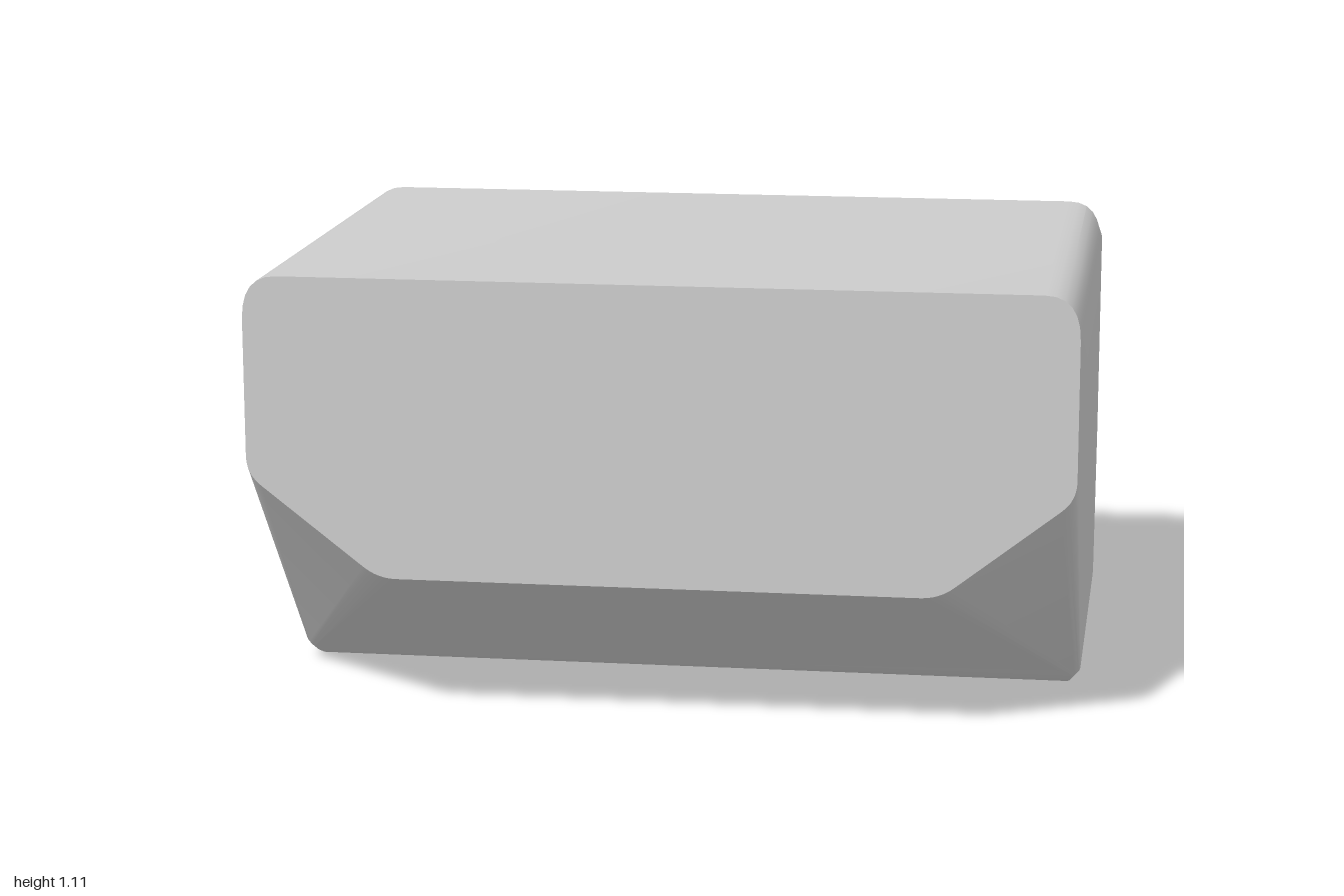
import * as THREE from 'three';
import { toCreasedNormals } from 'three/addons/utils/BufferGeometryUtils.js';

const ARC = 6;

// Rounded corner at c, cut on the lines towards a and b
function fillet(a, c, b, da, db) {
  const p = c.clone().add(a.clone().sub(c).setLength(da));
  const q = c.clone().add(b.clone().sub(c).setLength(db));
  return new THREE.QuadraticBezierCurve(p, c, q).getPoints(ARC);
}

// Cross-section, counter-clockwise from the front: bottom, chamfer, side, top
function section({ z, bottom, cutX, cutY, top, inset, drop, round }) {
  const v = (x, y) => new THREE.Vector2(x, y);
  const low = v(cutX, bottom), side = v(1, cutY), corner = v(1, top);
  const right = [
    ...fillet(v(0, bottom), low, side, round, round),
    ...fillet(low, side, corner, round, round),
    ...fillet(side, corner, v(0, top), drop, inset),
  ];
  const left = right.map((p) => v(-p.x, p.y)).reverse();
  return [...right, ...left].map((p) => new THREE.Vector3(p.x, p.y, z));
}

// Skin between consecutive sections with flat caps on both ends
function loft(loops) {
  const pos = [];
  const tri = (...pts) => pts.forEach((p) => pos.push(p.x, p.y, p.z));
  const n = loops[0].length;
  for (let k = 0; k < loops.length - 1; k++) {
    const a = loops[k], b = loops[k + 1];
    for (let i = 0; i < n; i++) {
      const j = (i + 1) % n;
      tri(a[i], b[i], a[j]);
      tri(a[j], b[i], b[j]);
    }
  }
  const front = loops[0], back = loops[loops.length - 1];
  for (let i = 1; i < n - 1; i++) {
    tri(front[0], front[i], front[i + 1]);
    tri(back[0], back[i + 1], back[i]);
  }
  const geo = new THREE.BufferGeometry();
  geo.setAttribute('position', new THREE.Float32BufferAttribute(pos, 3));
  return toCreasedNormals(geo, 0.35);
}

export function createModel() {
  const group = new THREE.Group();
  group.name = 'bevelledBlock';

  // z, bottom, chamfer x, chamfer y, corner rounding
  const stations = [
    [0.807, 0.37, 0.68, 0.62, 0.045],
    [0.26, 0.032, 0.982, 0.052, 0.008],
    [0.235, 0.014, 0.975, 0.042, 0.008],
    [0.21, 0.003, 0.972, 0.04, 0.008],
    [0.19, 0, 0.97, 0.04, 0.008],
    [-0.6, 0, 0.97, 0.04, 0.008],
    [-0.67, 0, 0.97, 0.04, 0.008],
    [-0.695, 0.006, 0.972, 0.04, 0.008],
    [-0.715, 0.02, 0.976, 0.045, 0.008],
    [-0.728, 0.045, 0.98, 0.065, 0.006],
    [-0.807, 0.29, 0.89, 0.43, 0.006],
  ];

  const loops = stations.map(([z, bottom, cutX, cutY, round]) => {
    // Rear top bevel, with the rounded edge tapering off
    const t = Math.max(0, (-0.6 - z) / 0.207);
    return section({
      z, bottom, cutX, cutY, round,
      top: 1.107 - 0.107 * t,
      inset: 0.085 - 0.055 * t,
      drop: 0.107 - 0.082 * t,
    });
  });

  const body = new THREE.Mesh(loft(loops), new THREE.MeshStandardMaterial({ color: 0xcccccc }));
  body.name = 'body';
  group.add(body);
  return group;
}
